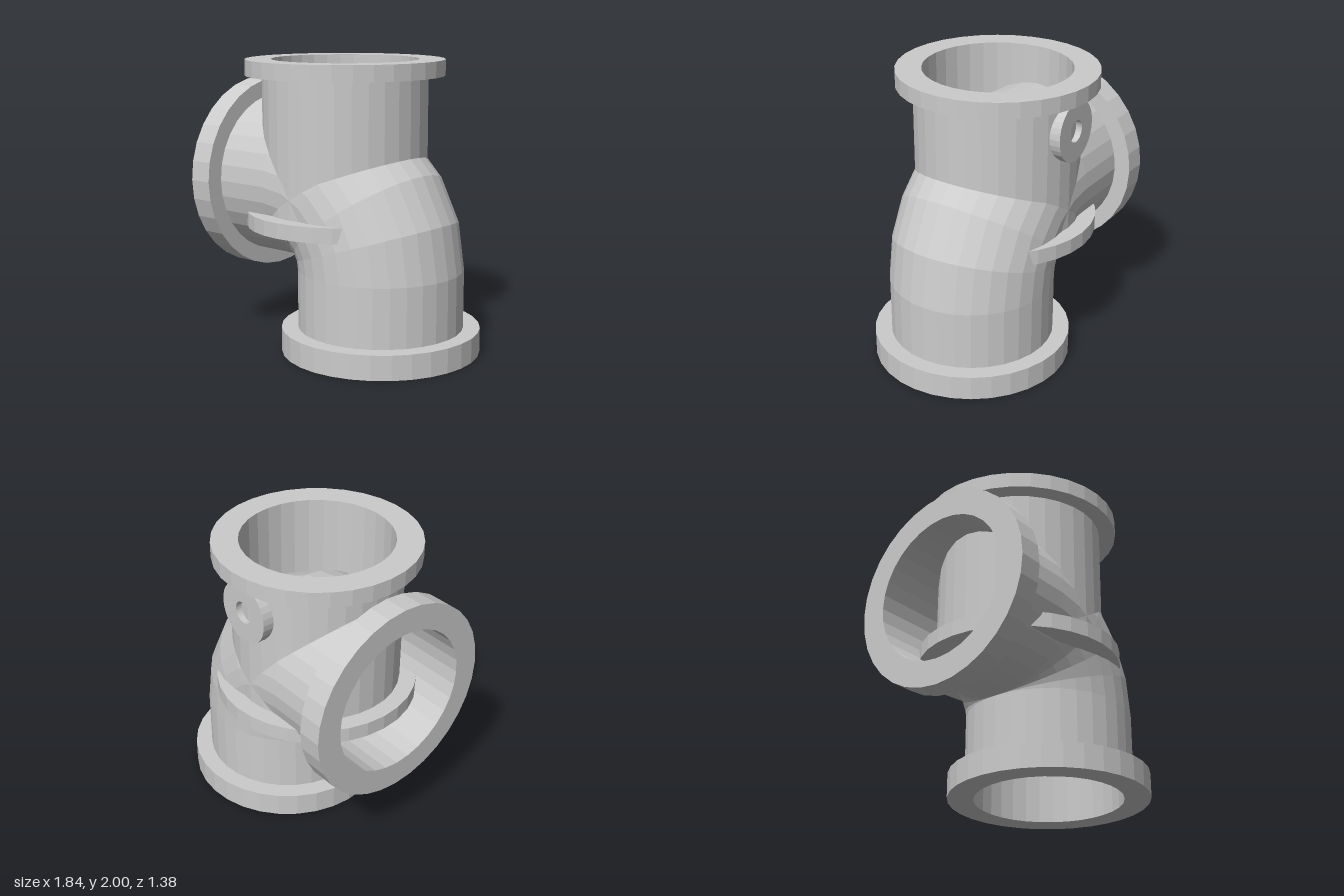
import * as THREE from 'three';

const BORE = 0.51, PIPE = 0.573, FLANGE = 0.689, SIDES = 32;

export function createModel() {
  const model = new THREE.Group();
  const material = new THREE.MeshStandardMaterial({ color: 0xcccccc, flatShading: true });

  const add = (name, geometry, x, y, z = 0) => {
    const mesh = new THREE.Mesh(geometry, material);
    mesh.name = name;
    mesh.position.set(x, y, z);
    model.add(mesh);
    return mesh;
  };
  const lathe = (points, sides = SIDES) =>
    new THREE.LatheGeometry(points.map(([r, y]) => new THREE.Vector2(r, y)), sides);

  // Straight flanged ends that meet the elbow: bore, flange, outer wall
  const length = 0.58;
  const flangedEnd = lathe([
    [BORE, length], [BORE, 0], [FLANGE, 0], [FLANGE, 0.17], [PIPE, 0.17], [PIPE, length],
  ]);
  add('bottomPipe', flangedEnd, 0.228, 0);
  add('sidePipe', flangedEnd, -0.92, length + PIPE).rotation.z = -Math.PI / 2;

  // Quarter-turn elbow with outer and inner walls
  const elbow = (radius) => new THREE.TorusGeometry(PIPE, radius, SIDES, 5, Math.PI / 2);
  const inner = elbow(BORE);
  inner.setIndex(Array.from(inner.index.array).reverse()); // faces the bore
  add('elbowOuterWall', elbow(PIPE), 0.228 - PIPE, length);
  add('elbowInnerWall', inner, 0.228 - PIPE, length);

  // Vertical pipe with a flange at each end, passing into the elbow
  add('topPipe', lathe([
    [BORE, 0.85], [FLANGE, 0.85], [FLANGE, 0.955], [PIPE, 0.955], [PIPE, 1.89],
    [FLANGE, 1.89], [FLANGE, 2], [BORE, 2], [BORE, 0.85],
  ]), -0.095, 0);

  // Small drilled boss on the back of the top pipe
  add('backBoss', lathe([
    [0.075, 0], [0.21, 0], [0.21, 0.08], [0.075, 0.08], [0.075, 0],
  ]), -0.095, 1.67, -0.53).rotation.x = -Math.PI / 2;

  return model;
}
